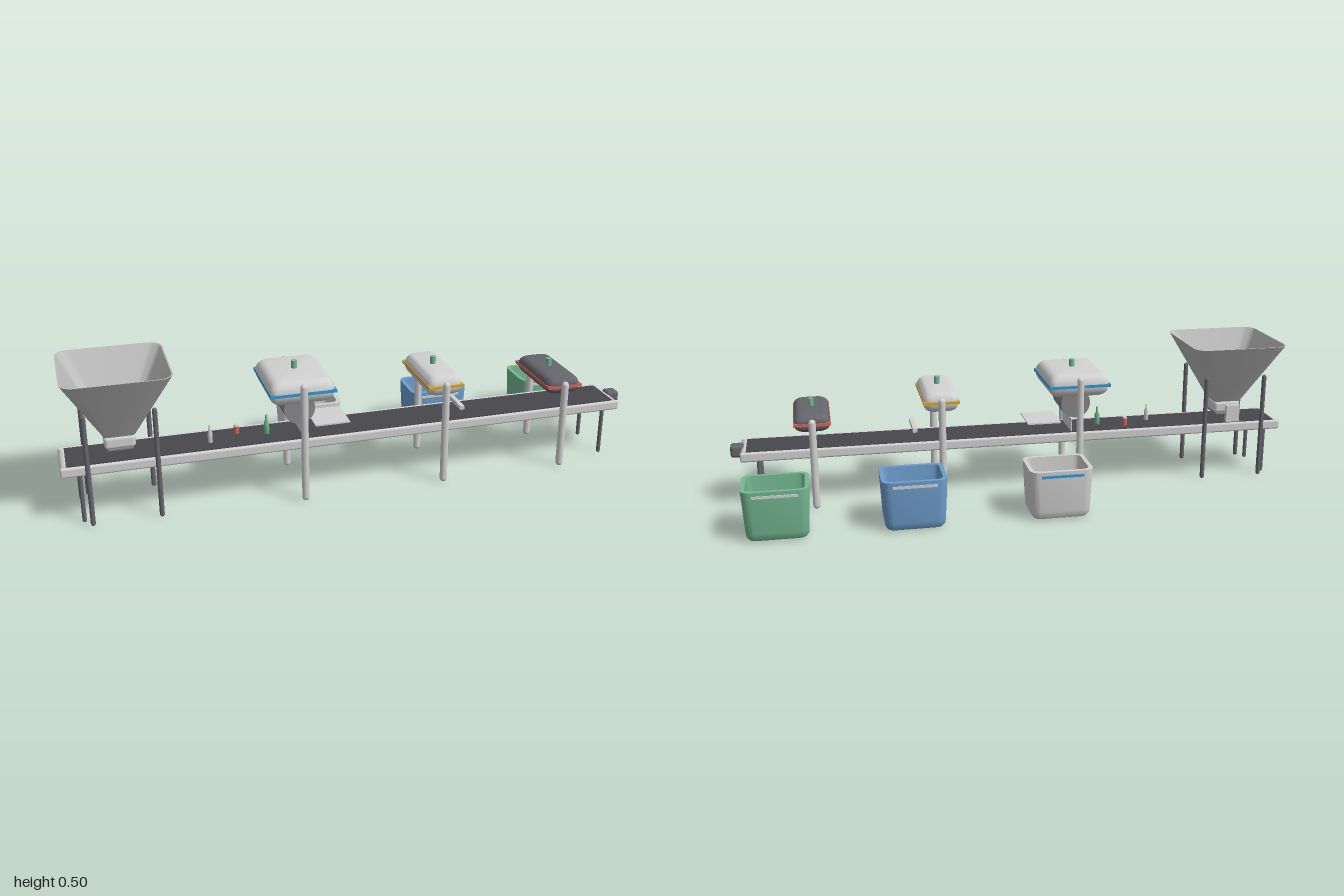
import * as THREE from 'three';
import { toCreasedNormals } from 'three/addons/utils/BufferGeometryUtils.js';
import { RoundedBoxGeometry } from 'three/addons/geometries/RoundedBoxGeometry.js';

const ZC = 0.117; // centre line of the conveyor

function material(name, color, side = THREE.FrontSide) {
  const m = new THREE.MeshStandardMaterial({ color, side });
  m.name = name;
  return m;
}

// Sweeps rounded rectangles [y, halfX, halfZ, cornerRadius] and closes both ends
function loft(sections) {
  const steps = 5, n = 4 * (steps + 1), pos = [], index = [];
  const first = sections[0], last = sections[sections.length - 1];
  const rings = [[first[0], 0, 0, 0], ...sections, [last[0], 0, 0, 0]];
  rings.forEach(([y, hx, hz, r]) => {
    for (let k = 0; k < 4; k++) for (let s = 0; s <= steps; s++) {
      const sx = k === 0 || k === 3 ? 1 : -1, sz = k < 2 ? 1 : -1;
      const t = (k + s / steps) * Math.PI / 2;
      pos.push(sx * (hx - r) + r * Math.cos(t), y, sz * (hz - r) + r * Math.sin(t));
    }
  });
  for (let j = 0; j < rings.length - 1; j++) for (let i = 0; i < n; i++) {
    const a = j * n + i, b = j * n + (i + 1) % n, c = a + n, d = b + n;
    index.push(a, c, b, b, c, d);
  }
  const g = new THREE.BufferGeometry();
  g.setAttribute('position', new THREE.Float32BufferAttribute(pos, 3));
  g.setIndex(index);
  return toCreasedNormals(g, 0.6);
}

export function createModel() {
  const model = new THREE.Group();
  model.name = 'sortingLine';

  const light = material('lightGrey', 0xd2d2d2);
  const steel = material('steelGrey', 0xbebebe);
  const mid = material('midGrey', 0x88888b);
  const dark = material('darkGrey', 0x66666d);
  const belt = material('beltBlack', 0x47474c);
  const blue = material('binBlue', 0x6f9fce);
  const green = material('green', 0x76b893);
  const accent = material('accentBlue', 0x2f9bd8);
  const gold = material('gold', 0xd8aa2c);
  const red = material('red', 0xd8655a);

  const add = (name, geo, mat, x, y, z, parent = model) => {
    const m = new THREE.Mesh(geo, mat);
    m.name = name;
    m.position.set(x, y, z);
    parent.add(m);
    return m;
  };
  const box = (w, h, d) => new THREE.BoxGeometry(w, h, d);
  const rounded = (w, h, d, r) => new RoundedBoxGeometry(w, h, d, 3, r);
  // Round-ended post standing on the ground
  const post = (name, mat, x, z, r, h) =>
    add(name, new THREE.CapsuleGeometry(r, h - 2 * r, 5, 14), mat, x, h / 2, z);

  // Conveyor
  add('belt', box(1.92, 0.012, 0.143), belt, -0.015, 0.193, ZC);
  for (const s of [-1, 1]) {
    add('rail', rounded(1.96, 0.034, 0.015, 0.007), light, -0.015, 0.182, ZC + s * 0.079);
    for (const x of [-0.935, 0.903]) post('conveyorLeg', dark, x, ZC + s * 0.079, 0.007, 0.18);
  }
  for (const x of [-0.978, 0.948]) {
    add('endRoller', new THREE.CylinderGeometry(0.017, 0.017, 0.143, 20), light, x, 0.182, ZC).rotation.x = Math.PI / 2;
  }
  for (const x of [-0.6, -0.21, 0.28, 0.72]) add('crossBar', box(0.012, 0.012, 0.15), light, x, 0.176, ZC);
  add('motor', rounded(0.046, 0.043, 0.048, 0.01), dark, 0.977, 0.184, ZC);

  // Hopper with open funnel, neck and four legs
  add('hopperFunnel', loft([
    [0.272, 0.05, 0.05, 0.012], [0.5, 0.173, 0.173, 0.045],
    [0.5, 0.168, 0.168, 0.042], [0.285, 0.05, 0.05, 0.012],
  ]), steel, -0.8, 0, ZC);
  add('hopperNeck', rounded(0.1, 0.044, 0.1, 0.012), light, -0.8, 0.25, ZC);
  add('hopperOutlet', rounded(0.085, 0.012, 0.085, 0.005), mid, -0.8, 0.224, ZC);
  add('hopperGateActuator', box(0.05, 0.062, 0.015), light, -0.8, 0.241, 0.02);
  for (const x of [-0.91, -0.69]) for (const s of [-1, 1]) {
    post('hopperLeg', dark, x, ZC + s * 0.111, 0.008, 0.385);
  }

  // Scanner heads: hollow-bottomed housings on two posts, with band and beacon
  const scanner = (x, y, hx, h, body, bandMat, postHeight) => {
    const g = new THREE.Group();
    g.name = 'scanner';
    g.position.set(x, y, ZC);
    model.add(g);
    const hz = 0.135, inset = Math.min(0.032, hx * 0.4);
    const rings = [[-h * 0.2, hx - inset - 0.012, hz - inset - 0.012, 0.01],
      [-h, hx - inset - 0.012, hz - inset - 0.012, 0.01]];
    for (let i = -5; i <= 5; i++) {
      const t = i / 5 * Math.PI / 2, d = inset * (1 - Math.cos(t));
      rings.push([h * Math.sin(t), hx - d, hz - d, 0.027 - d * 0.3]);
    }
    add('scannerHousing', loft(rings), body, 0, 0, 0, g);
    // Band as a frame so the recess stays open
    for (const s of [-1, 1]) {
      add('scannerBandSide', box(0.02, 0.01, hz * 2 + 0.002), bandMat, s * (hx - 0.009), 0, 0, g);
      add('scannerBandEnd', box(hx * 2 - 0.036, 0.01, 0.02), bandMat, 0, 0, s * (hz - 0.009), g);
      post('scannerPost', light, x, ZC + s * 0.1355, 0.0125, postHeight);
    }
    add('beacon', new THREE.CylinderGeometry(0.01, 0.01, 0.026, 16), green, 0, h + 0.014, 0, g);
  };
  scanner(-0.214, 0.383, 0.109, 0.041, light, accent, 0.418);
  scanner(0.276, 0.351, 0.062, 0.035, light, gold, 0.37);
  scanner(0.717, 0.301, 0.062, 0.0295, dark, red, 0.32);

  // Sensor drum under the first scanner, with a curtain below it
  add('sensorDrum', new THREE.CylinderGeometry(0.053, 0.053, 0.136, 32), mid, -0.214, 0.304, ZC).rotation.x = Math.PI / 2;
  add('drumStripe', box(0.006, 0.004, 0.07), accent, -0.18, 0.265, ZC);
  add('curtain', box(0.003, 0.047, 0.136), light, -0.2, 0.223, ZC);

  // Diverter plates over the belt
  add('diverterPlate', box(0.12, 0.005, 0.136), light, -0.1, 0.235, ZC);
  add('diverterBar', box(0.016, 0.014, 0.136), light, 0.364, 0.237, ZC);

  // Objects travelling on the belt
  const bottle = (name, mat, x, z, r, h) => add(name, new THREE.LatheGeometry([
    [0, 0], [r, 0], [r, h * 0.55], [r * 0.4, h * 0.78], [r * 0.4, h], [0, h],
  ].map(([a, b]) => new THREE.Vector2(a, b)), 14), mat, x, 0.199, z);
  bottle('clearBottle', light, -0.507, 0.134, 0.008, 0.06);
  bottle('greenBottle', green, -0.313, 0.117, 0.009, 0.066);
  add('can', new THREE.CylinderGeometry(0.009, 0.009, 0.026, 16), red, -0.41, 0.212, 0.087);
  add('canLid', new THREE.CylinderGeometry(0.007, 0.009, 0.006, 16), light, -0.41, 0.228, 0.087);

  // Collection bins behind the conveyor
  const binGeo = loft([
    [0, 0.082, 0.06, 0.02], [0.004, 0.092, 0.07, 0.024], [0.014, 0.099, 0.076, 0.027],
    [0.03, 0.101, 0.079, 0.028], [0.168, 0.108, 0.085, 0.03], [0.174, 0.108, 0.085, 0.03],
    [0.174, 0.094, 0.071, 0.02], [0.02, 0.088, 0.065, 0.018],
  ]);
  const bins = [[-0.089, light, accent], [0.401, blue, light], [0.845, green, light]];
  for (const [x, mat, stripe] of bins) {
    add('bin', binGeo, mat, x, 0, -0.203);
    for (const s of [-1, 1]) {
      add('binStripe', box(0.145, 0.009, 0.006), stripe, x, 0.157, -0.203 + s * 0.0845);
    }
  }
  return model;
}
